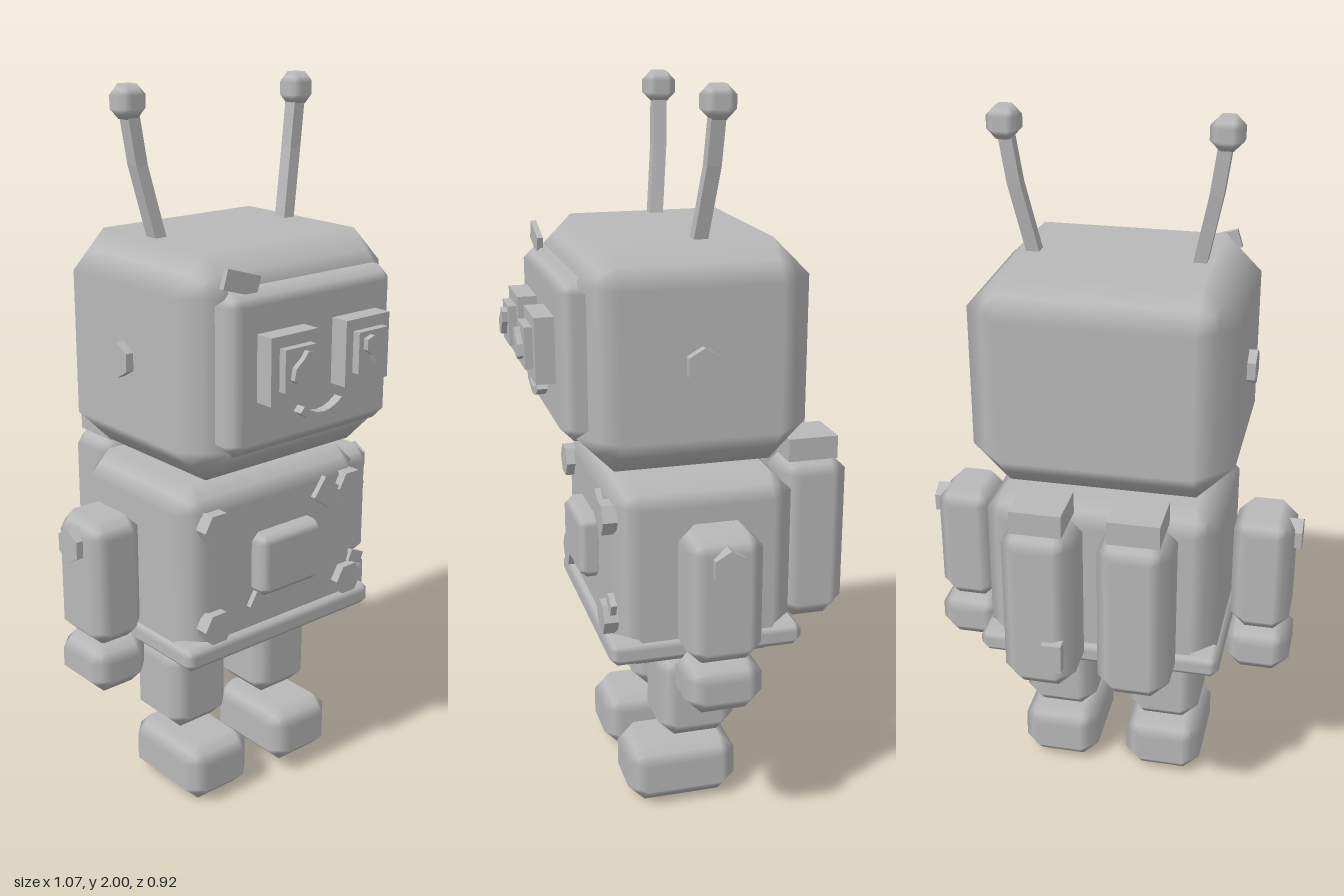
import * as THREE from 'three';

const metal = new THREE.MeshStandardMaterial({ color: 0xb8b8b8 });
metal.name = 'plainGrey';

// Box with a single-step chamfer: flat faces, smoothly shaded bevels
function chamferBox(w, h, d, c) {
  const geo = new THREE.BoxGeometry(1, 1, 1, 3, 3, 3);
  const pos = geo.attributes.position, nor = geo.attributes.normal;
  const half = [w / 2, h / 2, d / 2];
  for (let i = 0; i < pos.count; i++) {
    const v = [pos.getX(i), pos.getY(i), pos.getZ(i)];
    const outer = v.map((a) => (Math.abs(a) > 0.4 ? 1 : 0));
    const n = outer[0] + outer[1] + outer[2];
    const p = v.map((a, k) => Math.sign(a) * (half[k] - c + (outer[k] * c) / n));
    const m = new THREE.Vector3(...v.map((a, k) => Math.sign(a) * outer[k])).normalize();
    pos.setXYZ(i, ...p);
    nor.setXYZ(i, m.x, m.y, m.z);
  }
  return geo;
}

// Square rod sheared along a list of [x, y, z] centres
function bentRod(points, w, d) {
  const geo = new THREE.BoxGeometry(w, 1, d, 1, points.length - 1, 1);
  const pos = geo.attributes.position;
  for (let i = 0; i < pos.count; i++) {
    const p = points[Math.round((pos.getY(i) + 0.5) * (points.length - 1))];
    pos.setXYZ(i, pos.getX(i) + p[0], p[1], pos.getZ(i) + p[2]);
  }
  const flat = geo.toNonIndexed();
  flat.computeVertexNormals();
  return flat;
}

// Flat polygon plate extruded toward +z
function plate(points, depth) {
  const shape = new THREE.Shape(points.map(([x, y]) => new THREE.Vector2(x, y)));
  return new THREE.ExtrudeGeometry(shape, { depth, bevelEnabled: false });
}

// Hexagonal bolt head facing +z, with a corner on the x axis
function bolt(depth) {
  const pts = [];
  for (let i = 0; i < 6; i++) {
    const a = (i * Math.PI) / 3;
    pts.push([0.048 * Math.cos(a), 0.048 * Math.sin(a)]);
  }
  return plate(pts, depth).translate(0, 0, -depth / 2);
}

export function createModel() {
  const model = new THREE.Group();
  model.name = 'robot';

  const add = (name, geo, x = 0, y = 0, z = 0) => {
    const mesh = new THREE.Mesh(geo, metal);
    mesh.name = name;
    mesh.position.set(x, y, z);
    model.add(mesh);
    return mesh;
  };
  // Box given by its limits; c is the chamfer (0 for a sharp box)
  const block = (name, x0, x1, y0, y1, z0, z1, c = 0) => {
    const s = [x1 - x0, y1 - y0, z1 - z0];
    const geo = c ? chamferBox(...s, c) : new THREE.BoxGeometry(...s);
    return add(name, geo, (x0 + x1) / 2, (y0 + y1) / 2, (z0 + z1) / 2);
  };
  const patch = (name, x, y, z, w, h, turn) => {
    add(name, new THREE.BoxGeometry(w, h, 0.016), x, y, z).rotation.z = turn;
  };

  // Head and face
  block('head', -0.357, 0.357, 1.02, 1.615, -0.29, 0.335, 0.1);
  block('facePlate', -0.285, 0.285, 1.11, 1.535, 0.27, 0.373, 0.036);
  patch('headPatch', -0.23, 1.556, 0.338, 0.11, 0.052, -0.3);

  // Smiling mouth as a thick arc
  const upper = [], lower = [];
  for (let i = 0; i <= 6; i++) {
    const t = i / 3 - 1;
    upper.push([t * 0.066, 1.195 + 0.026 * t * t]);
    lower.unshift([t * 0.08, 1.173 + 0.033 * t * t]);
  }
  add('mouth', plate([...lower, ...upper], 0.035), 0, 0, 0.365);

  // Torso
  block('body', -0.328, 0.328, 0.455, 0.992, -0.255, 0.25, 0.068);
  block('waistBand', -0.343, 0.343, 0.49, 0.558, -0.273, 0.27, 0.022);
  block('chestPlate', -0.113, 0.113, 0.655, 0.835, 0.23, 0.305, 0.024);
  patch('chestPatchUpper', 0.158, 0.888, 0.258, 0.075, 0.068, -0.65);
  patch('chestPatchLower', -0.088, 0.628, 0.258, 0.062, 0.046, -0.55);
  patch('chestPatchSide', 0.283, 0.655, 0.253, 0.05, 0.035, -0.4);

  // Pupil outline around its own centre
  const pupil = [
    [-0.036, -0.028], [-0.03, 0.002], [-0.004, 0.022], [0.01, 0.04], [0.034, 0.032],
    [0.034, 0.004], [0.014, -0.012], [0.002, -0.036], [-0.024, -0.038],
  ];

  // Everything that comes in pairs
  for (const s of [1, -1]) {
    const side = s > 0 ? 'left' : 'right';
    const pair = (name, a, b, ...rest) =>
      block(side + name, Math.min(s * a, s * b), Math.max(s * a, s * b), ...rest);

    pair('EyeFrame', 0.05, 0.205, 1.255, 1.43, 0.36, 0.425);
    pair('Eye', 0.075, 0.178, 1.29, 1.4, 0.42, 0.447);
    const outline = pupil.map(([x, y]) => [-s * x, y]);
    add(side + 'Pupil', plate(s > 0 ? outline.reverse() : outline, 0.02), s * 0.125, 1.35, 0.442);

    const ear = add(side + 'EarBolt', bolt(0.05), s * 0.355, 1.32, 0.026);
    ear.rotation.set(0, Math.PI / 2, Math.PI / 2, 'YXZ');

    add(side + 'Antenna', bentRod([
      [s * 0.22, 1.6, 0], [s * 0.263, 1.8, -0.023], [s * 0.285, 1.95, -0.03],
    ], 0.036, 0.038));
    add(side + 'AntennaTip', chamferBox(0.086, 0.086, 0.086, 0.026), s * 0.285, 1.957, -0.03);

    for (const y of [0.89, 0.603]) add(side + 'ChestBolt', bolt(0.04), s * 0.243, y, 0.255);

    pair('Arm', 0.347, 0.515, 0.545, 0.905, -0.105, 0.1, 0.044);
    pair('Hand', 0.337, 0.522, 0.405, 0.55, -0.107, 0.105, 0.046);
    const shoulder = add(side + 'ShoulderBolt', bolt(0.05), s * 0.51, 0.833, 0);
    shoulder.rotation.set(0, Math.PI / 2, Math.PI / 2, 'YXZ');

    pair('Leg', 0.05, 0.263, 0.193, 0.45, -0.112, 0.11, 0.048);
    pair('Foot', 0.045, 0.272, 0, 0.177, -0.115, 0.2, 0.048);

    pair('Tank', 0.03, 0.228, 0.505, 0.992, -0.445, -0.25, 0.05);
    pair('TankCap', 0.06, 0.2, 0.98, 1.045, -0.412, -0.27);
  }

  // Small valve on the back of one tank
  block('tankValve', 0.055, 0.11, 0.59, 0.675, -0.462, -0.43);

  return model;
}
